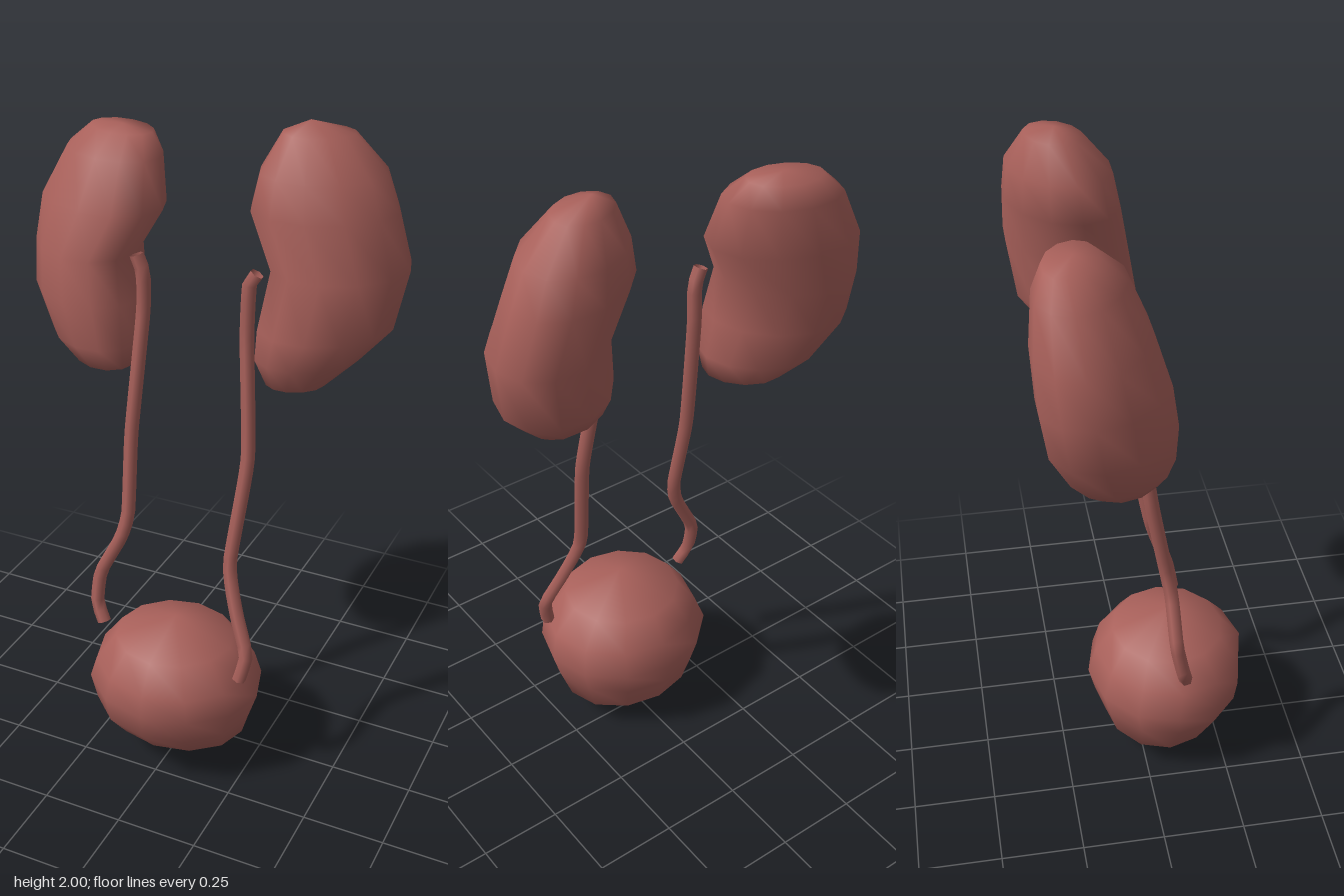
import * as THREE from 'three';
import { mergeVertices } from 'three/addons/utils/BufferGeometryUtils.js';

const material = new THREE.MeshStandardMaterial({ color: 0xa8605a, side: THREE.DoubleSide });
const SIDES = 12;

// Closed organ skinned over oval rings, top to bottom.
// Each ring is [y, xMin, xMax, zMin, zMax]; skew leans the oval diagonally in plan.
function organ(name, rings, skew = 0) {
  const positions = [], index = [];
  for (const [y, x0, x1, z0, z1] of rings) {
    for (let j = 0; j < SIDES; j++) {
      const t = (j / SIDES) * Math.PI * 2;
      positions.push(
        (x0 + x1) / 2 + ((x1 - x0) / 2) * Math.cos(t),
        y,
        (z0 + z1) / 2 + ((z1 - z0) / 2) * Math.sin(t - skew)
      );
    }
  }
  for (let i = 0; i < rings.length - 1; i++) {
    for (let j = 0; j < SIDES; j++) {
      const k = (j + 1) % SIDES;
      const a = i * SIDES + j, b = i * SIDES + k;
      const c = a + SIDES, d = b + SIDES;
      index.push(a, b, c, b, d, c);
    }
  }
  let geometry = new THREE.BufferGeometry();
  geometry.setAttribute('position', new THREE.Float32BufferAttribute(positions, 3));
  geometry.setIndex(index);
  geometry = mergeVertices(geometry); // welds the poles
  geometry.computeVertexNormals();
  const mesh = new THREE.Mesh(geometry, material);
  mesh.name = name;
  return mesh;
}

// Thin duct swept along a few points
function duct(name, points) {
  const curve = new THREE.CatmullRomCurve3(
    points.map((p) => new THREE.Vector3(...p)), false, 'catmullrom', 0.25);
  const mesh = new THREE.Mesh(new THREE.TubeGeometry(curve, 32, 0.021, 6), material);
  mesh.name = name;
  return mesh;
}

export function createModel() {
  const group = new THREE.Group();
  group.name = 'urinarySystem';

  // Kidneys: bean shapes, notched on the inner side
  group.add(organ('leftKidney', [
    [2.00, 0.27, 0.27, -0.18, -0.18],
    [1.97, 0.20, 0.39, -0.10, -0.26],
    [1.87, 0.15, 0.485, -0.02, -0.315],
    [1.77, 0.13, 0.525, 0.00, -0.325],
    [1.62, 0.205, 0.57, 0.03, -0.325],
    [1.45, 0.18, 0.54, 0.055, -0.30],
    [1.36, 0.18, 0.46, 0.04, -0.22],
    [1.285, 0.22, 0.38, 0.01, -0.13],
    [1.27, 0.27, 0.27, -0.05, -0.05],
  ].map(([y, a, b, z1, z0]) => [y, a, b, z0, z1]), 0.25));

  group.add(organ('rightKidney', [
    [1.91, -0.31, -0.31, -0.21, -0.21],
    [1.90, -0.42, -0.21, -0.29, -0.14],
    [1.84, -0.49, -0.17, -0.32, -0.07],
    [1.70, -0.565, -0.148, -0.335, -0.01],
    [1.57, -0.573, -0.22, -0.33, 0.03],
    [1.44, -0.57, -0.20, -0.31, 0.05],
    [1.31, -0.50, -0.195, -0.25, 0.05],
    [1.24, -0.42, -0.21, -0.19, 0.02],
    [1.20, -0.36, -0.36, -0.10, -0.10],
  ], -0.25));

  // Bladder
  group.add(organ('bladder', [
    [0.50, 0.00, 0.00, 0.10, 0.10],
    [0.43, -0.19, 0.18, -0.08, 0.27],
    [0.35, -0.25, 0.25, -0.135, 0.335],
    [0.27, -0.28, 0.27, -0.16, 0.335],
    [0.19, -0.255, 0.245, -0.14, 0.325],
    [0.10, -0.225, 0.215, -0.11, 0.25],
    [0.035, -0.08, 0.08, -0.05, 0.11],
    [0.005, 0.01, 0.01, 0.02, 0.02],
  ]));

  // Ureters running down and forward to the bladder
  group.add(duct('leftUreter', [
    [0.18, 1.595, -0.05], [0.16, 1.56, -0.045], [0.158, 1.4, -0.04], [0.19, 1.05, 0.01],
    [0.165, 0.72, 0.07], [0.205, 0.58, 0.11], [0.255, 0.46, 0.145], [0.24, 0.375, 0.16],
  ]));
  group.add(duct('rightUreter', [
    [-0.185, 1.595, -0.04], [-0.165, 1.54, -0.04], [-0.167, 1.42, -0.04], [-0.187, 1.05, 0.01],
    [-0.18, 0.8, 0.055], [-0.2, 0.71, 0.07], [-0.27, 0.57, 0.075], [-0.275, 0.47, 0.095],
    [-0.245, 0.41, 0.11],
  ]));

  return group;
}
